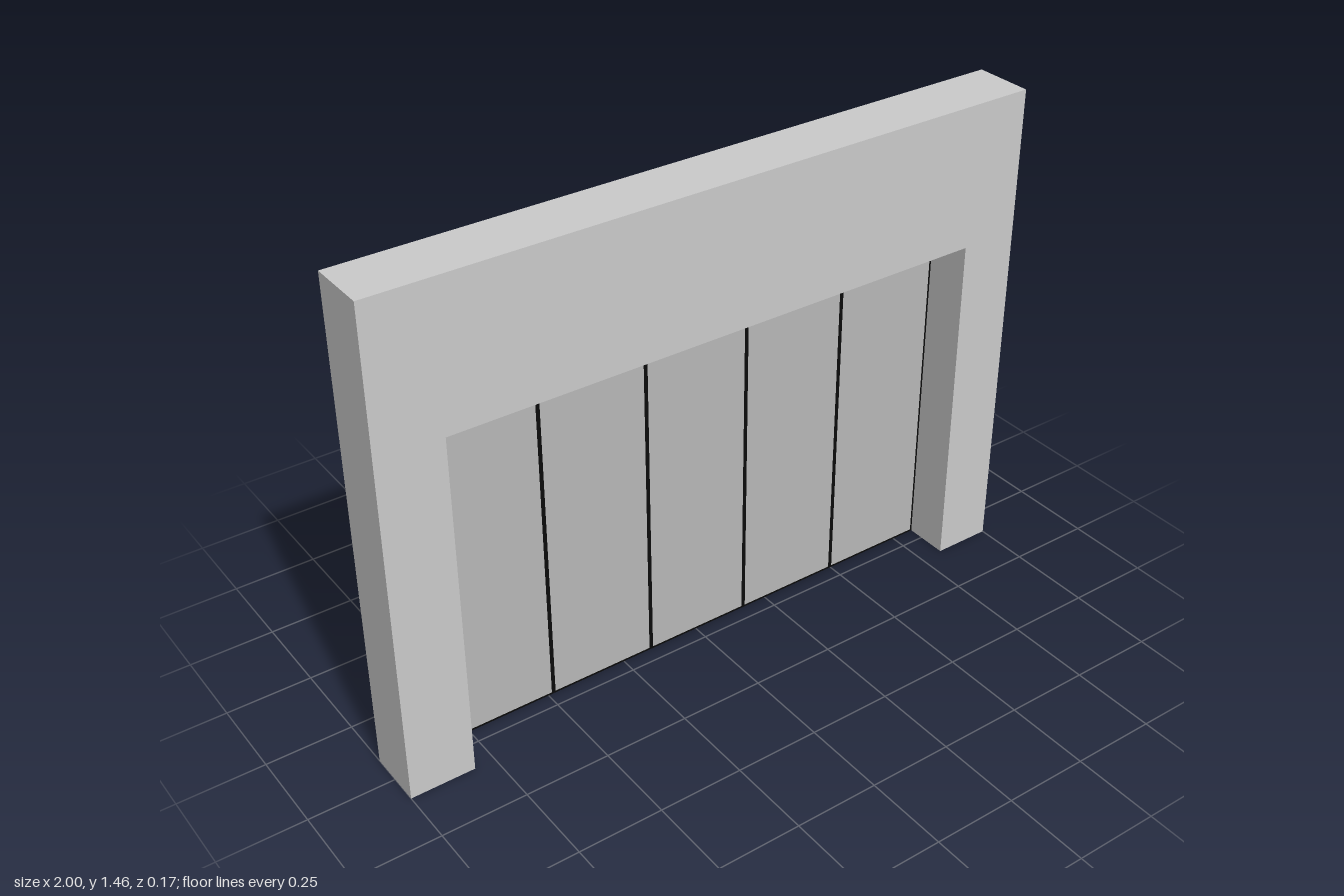
import * as THREE from 'three';

const WIDTH = 2, HEIGHT = 1.464, DEPTH = 0.174;
const LEFT = -0.81, RIGHT = 0.824, TOP = 1.04; // door opening
const LEAVES = 5, LEAF_DEPTH = 0.04, EDGE = 0.006;

function extrude(shape, depth, material, name) {
  const geometry = new THREE.ExtrudeGeometry(shape, { depth, bevelEnabled: false });
  const mesh = new THREE.Mesh(geometry, material);
  mesh.name = name;
  mesh.position.z = -DEPTH / 2;
  return mesh;
}

function rectangle(PathType, x0, y0, x1, y1) {
  return new PathType([[x0, y0], [x1, y0], [x1, y1], [x0, y1]].map(p => new THREE.Vector2(...p)));
}

export function createModel() {
  const model = new THREE.Group();
  model.name = 'foldingDoorWall';
  const wallMaterial = new THREE.MeshStandardMaterial({ color: 0xcccccc });
  const panelMaterial = new THREE.MeshStandardMaterial({ color: 0xb8b8b8 });
  const frameMaterial = new THREE.MeshStandardMaterial({ color: 0x0a0a0a });

  // Wall: an inverted U around the opening
  const h = WIDTH / 2;
  const outline = [[-h, 0], [LEFT, 0], [LEFT, TOP], [RIGHT, TOP], [RIGHT, 0], [h, 0], [h, HEIGHT], [-h, HEIGHT]];
  const wallShape = new THREE.Shape(outline.map(p => new THREE.Vector2(...p)));
  model.add(extrude(wallShape, DEPTH, wallMaterial, 'wall'));

  // Door leaves, flush with the back of the wall: thin dark frame around a panel
  const leafWidth = (RIGHT - LEFT) / LEAVES;
  for (let i = 0; i < LEAVES; i++) {
    const x0 = LEFT + i * leafWidth, x1 = x0 + leafWidth;
    const inner = [x0 + EDGE, EDGE, x1 - EDGE, TOP - EDGE];
    const frame = rectangle(THREE.Shape, x0, 0, x1, TOP);
    frame.holes.push(rectangle(THREE.Path, ...inner));

    const leaf = new THREE.Group();
    leaf.name = `doorLeaf${i + 1}`;
    leaf.add(
      extrude(frame, LEAF_DEPTH, frameMaterial, 'leafFrame'),
      extrude(rectangle(THREE.Shape, ...inner), LEAF_DEPTH, panelMaterial, 'leafPanel')
    );
    model.add(leaf);
  }
  return model;
}
